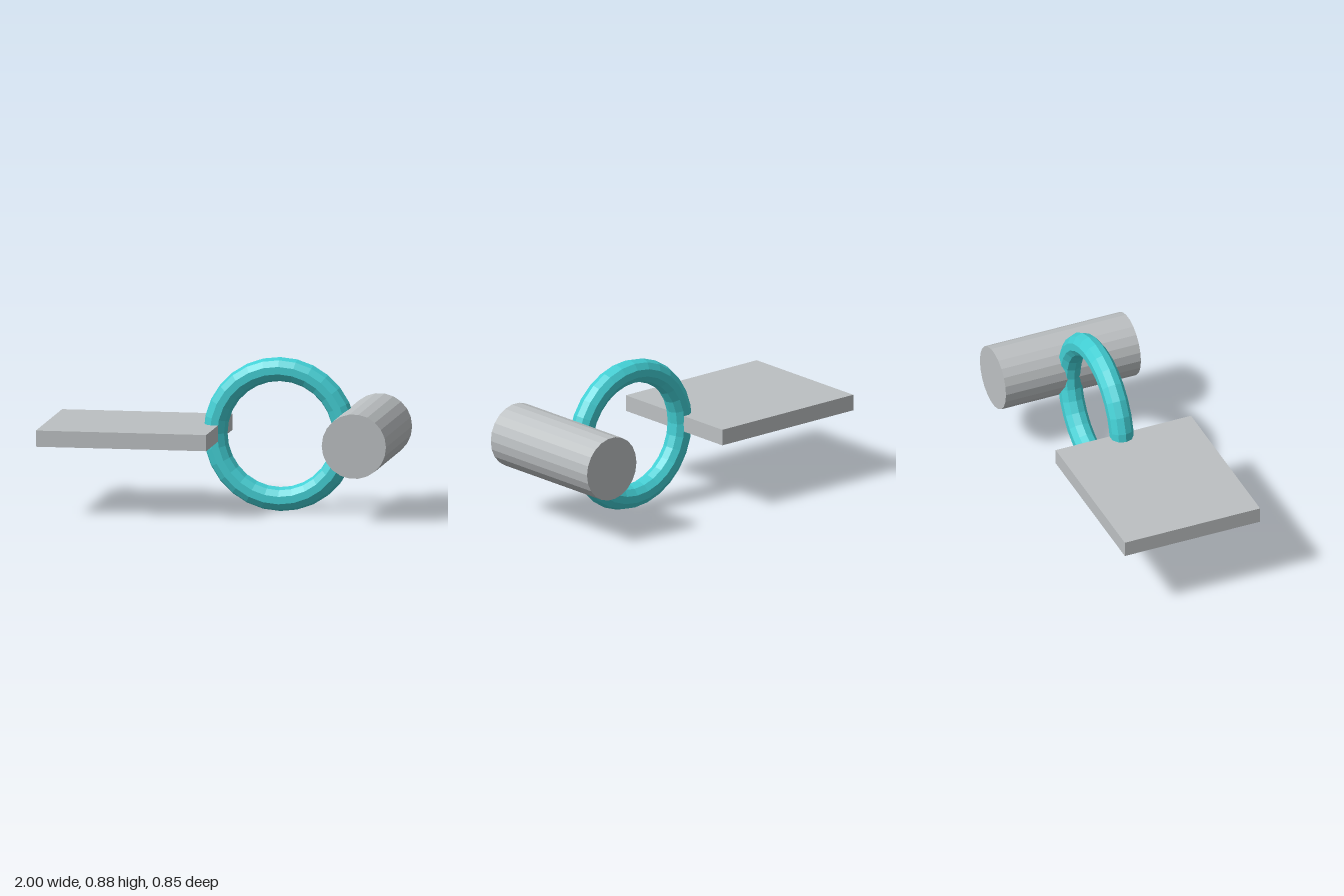
import * as THREE from 'three';

export function createModel() {
  const model = new THREE.Group();

  const grey = new THREE.MeshStandardMaterial({ color: 0xbcc0c2, flatShading: true });
  grey.name = 'light grey';
  const teal = new THREE.MeshStandardMaterial({ color: 0x42cfd4, flatShading: true });
  teal.name = 'turquoise';

  const add = (name, geometry, material, x, y, z) => {
    const mesh = new THREE.Mesh(geometry, material);
    mesh.name = name;
    mesh.position.set(x, y, z);
    model.add(mesh);
    return mesh;
  };

  // Flat slab that the ring's left-hand rim passes through
  add('plate', new THREE.BoxGeometry(0.975, 0.092, 0.831), grey, -0.5125, 0.441, 0.009);

  // Upright faceted ring joining the two grey parts
  add('ring', new THREE.TorusGeometry(0.37, 0.0685, 10, 28), teal, 0.32, 0.4385, -0.011);

  // Solid bar lying front to back across the ring's other rim
  const barShape = new THREE.CylinderGeometry(0.184, 0.184, 0.829, 22, 1, false, Math.PI / 2);
  barShape.rotateX(Math.PI / 2);
  add('bar', barShape, grey, 0.816, 0.44, -0.012);

  return model;
}
